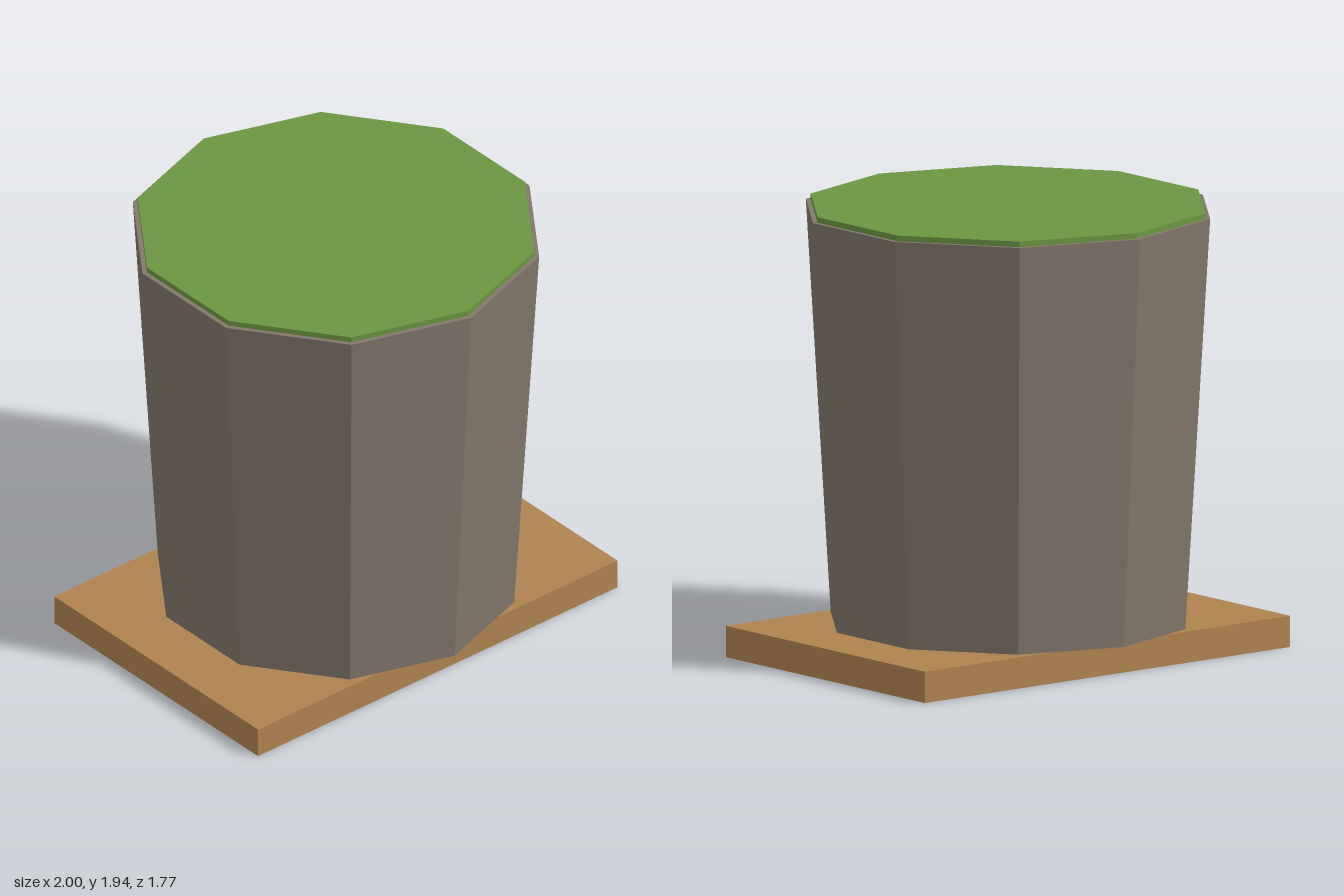
import * as THREE from 'three';

const flat = (name, color) => {
  const m = new THREE.MeshStandardMaterial({ color, flatShading: true });
  m.name = name;
  return m;
};

export function createModel() {
  const wood = flat('wood brown', 0xb0834f);
  const stone = flat('stone grey', 0x82776a);
  const grass = flat('grass green', 0x6a9641);

  const group = new THREE.Group();
  group.name = 'planter';

  const add = (name, geometry, material, bottom, height) => {
    const mesh = new THREE.Mesh(geometry, material);
    mesh.name = name;
    mesh.position.y = bottom + height / 2;
    group.add(mesh);
  };

  // Rectangular board under the pot
  add('baseBoard', new THREE.BoxGeometry(2, 0.135, 1.336), wood, 0, 0.135);

  // Ten-sided pot, widening upward, with a corner facing the front;
  // its underside sits just above the board so the two never coincide
  add('potBody', new THREE.CylinderGeometry(0.887, 0.778, 1.777, 10), stone, 0.137, 1.777);

  // Thin green disc on top, slightly inset from the rim
  add('topDisc', new THREE.CylinderGeometry(0.866, 0.866, 0.03, 10), grass, 1.908, 0.03);

  return group;
}
